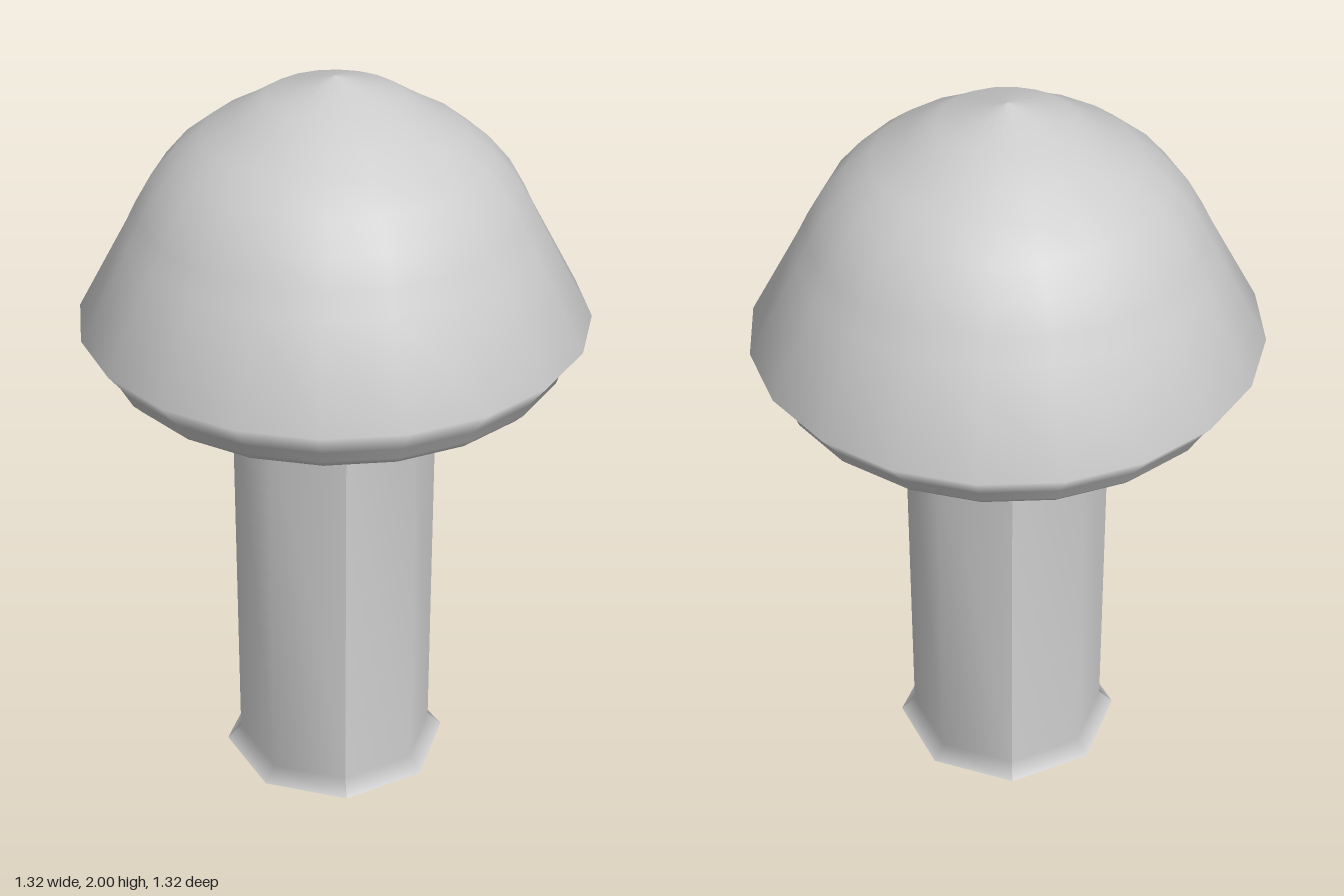
import * as THREE from 'three';

const material = new THREE.MeshStandardMaterial({ color: 0xcccccc, side: THREE.DoubleSide });
const profile = (rows) => rows.map(([r, y]) => new THREE.Vector2(r, y));

function addMesh(parent, name, geometry) {
  const mesh = new THREE.Mesh(geometry, material);
  mesh.name = name;
  parent.add(mesh);
  return mesh;
}

export function createModel() {
  const model = new THREE.Group();
  model.name = 'mushroom';

  // Smooth 20-sided cap: curved underside, flared rim, domed top with a small peak
  const capProfile = profile([
    [0, 1.17], [0.22, 1.17], [0.38, 1.185], [0.5, 1.207], [0.57, 1.235], [0.595, 1.26], [0.605, 1.29],
    [0.66, 1.36], [0.53, 1.6], [0.5, 1.66], [0.46, 1.73], [0.4, 1.8], [0.33, 1.855],
    [0.25, 1.9], [0.17, 1.95], [0, 2],
  ]);
  addMesh(model, 'cap', new THREE.LatheGeometry(capProfile, 20));

  // Octagonal stem in four quarters, smooth within each and creased between them
  const stem = new THREE.Group();
  stem.name = 'stem';
  model.add(stem);
  const stemProfile = profile([[0.308, 0], [0.27, 0.04], [0.27, 1.2]]);
  for (let i = 0; i < 4; i++) {
    const quarter = new THREE.LatheGeometry(stemProfile, 2, Math.PI / 4 + i * Math.PI / 2, Math.PI / 2);
    quarter.computeVertexNormals();
    addMesh(stem, 'stemQuarter', quarter);
  }

  // Flat foot closing the flared base
  addMesh(stem, 'foot', new THREE.CircleGeometry(0.308, 8).rotateX(Math.PI / 2));

  return model;
}
